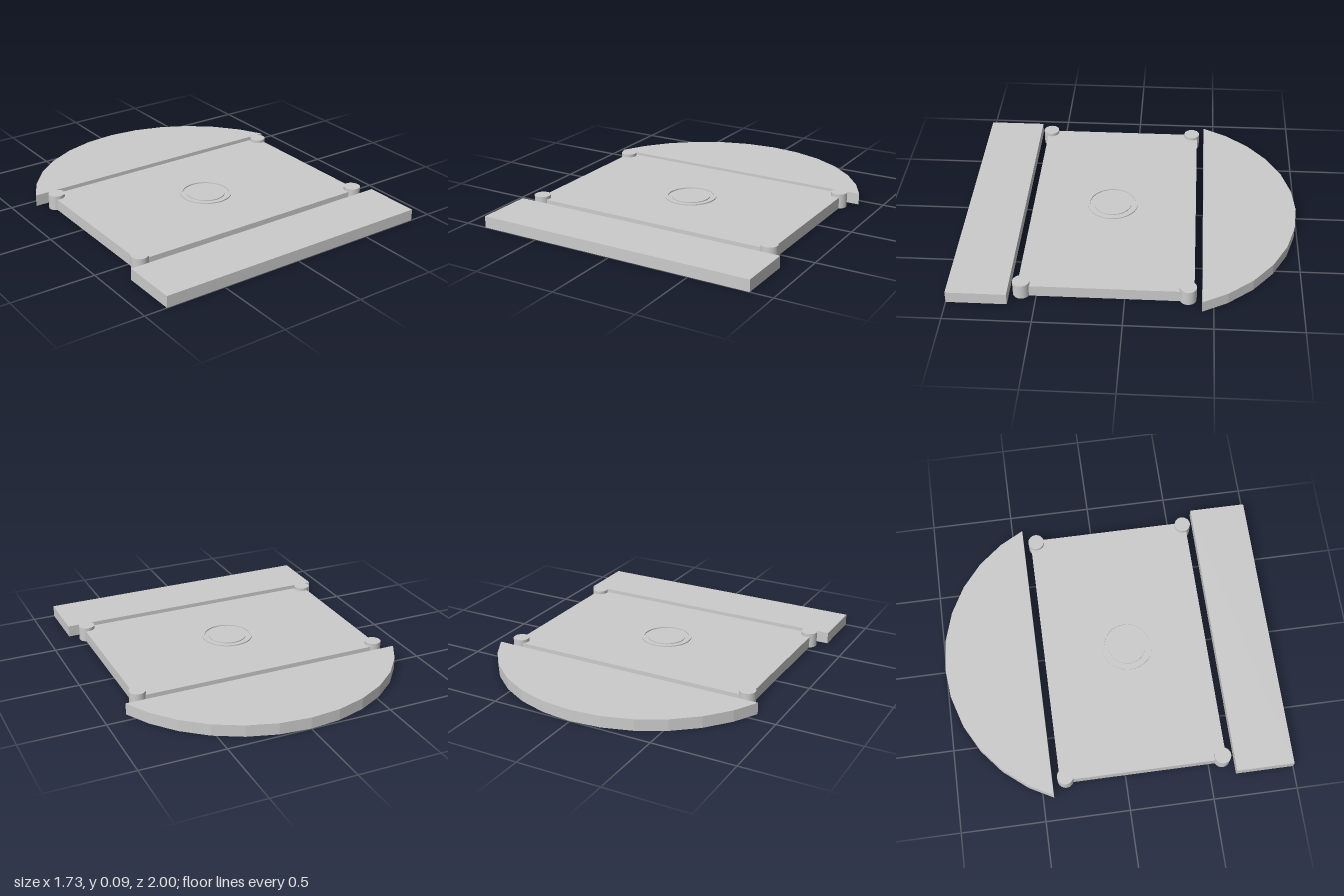
import * as THREE from 'three';

const THICK = 0.07;

export function createModel() {
  const model = new THREE.Group();
  const material = new THREE.MeshStandardMaterial({ color: 0xcccccc });
  const flat = new THREE.MeshStandardMaterial({ color: 0xcccccc, flatShading: true });

  const add = (name, geometry, x, y, z, mat = material) => {
    const mesh = new THREE.Mesh(geometry, mat);
    mesh.name = name;
    mesh.position.set(x, y, z);
    model.add(mesh);
    return mesh;
  };

  // Slab given by its width and its z range
  const slab = (name, width, z0, z1) =>
    add(name, new THREE.BoxGeometry(width, THICK, z1 - z0), 0, THICK / 2, (z0 + z1) / 2);

  slab('mainDeck', 1.572, -0.39, 0.605);
  slab('frontPanel', 1.73, 0.655, 1);

  // Rear panel: a segment of a 32-sided disc, cut straight at z = -0.435
  const R = 0.945, centre = -0.055;
  const outline = new THREE.Shape();
  outline.moveTo(0.865, 0.435);
  for (let i = 5; i >= -5; i--) {
    const a = (i * Math.PI) / 16;
    outline.lineTo(R * Math.sin(a), R * Math.cos(a) - centre);
  }
  outline.lineTo(-0.865, 0.435);
  outline.closePath();
  const rear = new THREE.ExtrudeGeometry(outline, { depth: THICK, bevelEnabled: false });
  rear.rotateX(-Math.PI / 2);
  add('rearPanel', rear, 0, 0, 0, flat);

  // Corner posts
  const post = new THREE.CylinderGeometry(0.049, 0.049, 0.09, 32);
  for (const x of [-0.766, 0.766])
    for (const z of [-0.355, 0.585]) add('cornerPost', post, x, 0.045, z);

  // Shallow raised ring and disc in the middle of the deck
  const ringShape = new THREE.Shape().absarc(0, 0, 0.155, 0, Math.PI * 2);
  ringShape.holes.push(new THREE.Path().absarc(0, 0, 0.14, 0, Math.PI * 2, true));
  const ring = new THREE.ExtrudeGeometry(ringShape, { depth: 0.012, bevelEnabled: false, curveSegments: 32 });
  ring.rotateX(-Math.PI / 2);
  add('centreRing', ring, 0, 0.065, 0.12);
  add('centreDisc', new THREE.CylinderGeometry(0.115, 0.115, 0.012, 32), 0, 0.07, 0.12);

  return model;
}
